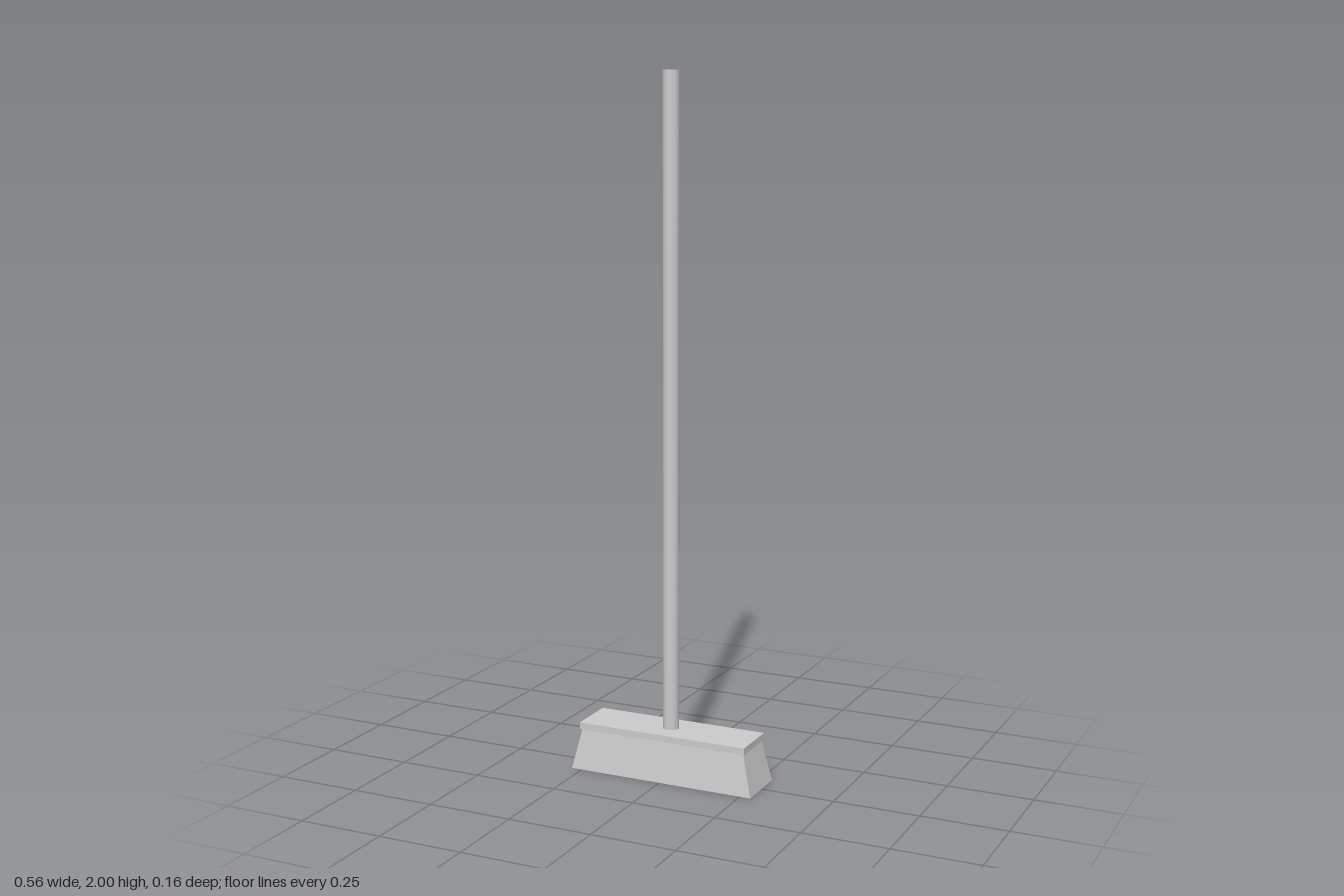
import * as THREE from 'three';

const material = new THREE.MeshStandardMaterial({ color: 0xcccccc });

function addPart(group, name, geometry, y) {
  const mesh = new THREE.Mesh(geometry, material);
  mesh.name = name;
  mesh.position.y = y;
  group.add(mesh);
}

// Box standing on y = 0 whose top is scaled in x and z
function taperedBox(width, height, depth, topX, topZ) {
  const geometry = new THREE.BoxGeometry(width, height, depth).translate(0, height / 2, 0);
  const pos = geometry.attributes.position;
  for (let i = 0; i < pos.count; i++) {
    if (pos.getY(i) > height / 2) {
      pos.setX(i, pos.getX(i) * topX);
      pos.setZ(i, pos.getZ(i) * topZ);
    }
  }
  geometry.computeVertexNormals();
  return geometry;
}

export function createModel() {
  const broom = new THREE.Group();
  broom.name = 'broom';

  const blockBottom = 0.12, blockTop = 0.14;

  // Bristles flare out towards the floor
  addPart(broom, 'bristles', taperedBox(0.564, blockBottom, 0.16, 0.9, 0.82), 0);

  // Flat block that holds the bristles
  addPart(broom, 'headBlock',
    new THREE.BoxGeometry(0.518, blockTop - blockBottom, 0.145), (blockTop + blockBottom) / 2);

  // Long round handle, set slightly into the block
  const handleBottom = blockTop - 0.01;
  addPart(broom, 'handle',
    new THREE.CylinderGeometry(0.023, 0.023, 2 - handleBottom, 32), (2 + handleBottom) / 2);

  return broom;
}
